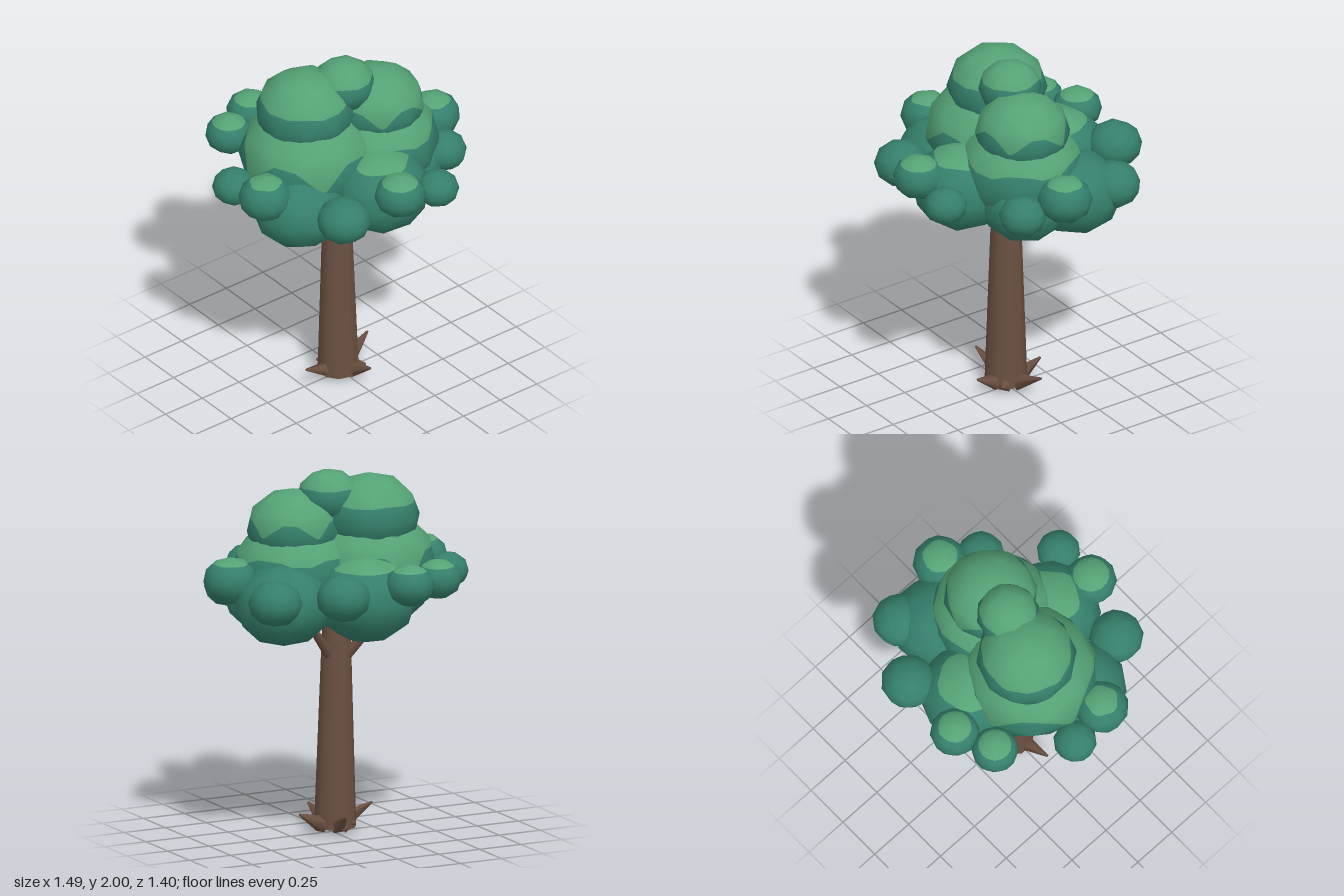
import * as THREE from 'three';

const bark = new THREE.MeshStandardMaterial({ color: 0x6b5142 });
const darkLeaf = new THREE.MeshStandardMaterial({ color: 0x35806c });
const lightLeaf = new THREE.MeshStandardMaterial({ color: 0x55a476 });
bark.name = 'bark';
darkLeaf.name = 'darkLeaf';
lightLeaf.name = 'lightLeaf';

const UP = new THREE.Vector3(0, 1, 0);
const SQUASH = 0.86;

// keep the part of a polygon on one side of the colour line
function clip(poly, side) {
  const out = [];
  poly.forEach((a, i) => {
    const b = poly[(i + 1) % poly.length];
    if (a.v * side >= 0) out.push(a);
    if (a.v * b.v < 0) out.push({ p: a.p.clone().lerp(b.p, a.v / (a.v - b.v)), v: 0 });
  });
  return out;
}

// squashed ball of leaves: light cap above a zigzag line, dark below
function leafBall(name, x, y, z, r, line, zigzag, turn) {
  const ico = new THREE.IcosahedronGeometry(1, 1);
  ico.rotateZ(Math.atan(2 / (1 + Math.sqrt(5))));
  const src = ico.attributes.position;
  const corner = i => {
    const p = new THREE.Vector3().fromBufferAttribute(src, i);
    const ring = Math.sqrt(Math.max(0, 1 - p.y * p.y));
    const wave = zigzag * ring * Math.sin(5 * Math.atan2(p.z, p.x));
    return { p, v: p.y + wave - line + 1e-5 };
  };
  const pos = [];
  const counts = [-1, 1].map(side => {
    const start = pos.length / 3;
    for (let i = 0; i < src.count; i += 3) {
      const poly = clip([corner(i), corner(i + 1), corner(i + 2)], side);
      for (let k = 1; k + 1 < poly.length; k++) {
        for (const c of [poly[0], poly[k], poly[k + 1]]) pos.push(c.p.x, c.p.y, c.p.z);
      }
    }
    return pos.length / 3 - start;
  });
  const geo = new THREE.BufferGeometry();
  geo.setAttribute('position', new THREE.Float32BufferAttribute(pos, 3));
  geo.setAttribute('normal', new THREE.Float32BufferAttribute(pos, 3));
  geo.normalizeNormals();
  geo.addGroup(0, counts[0], 0);
  if (counts[1]) geo.addGroup(counts[0], counts[1], 1);
  geo.rotateY(turn);
  geo.scale(r, r * SQUASH, r);
  const mesh = new THREE.Mesh(geo, [darkLeaf, lightLeaf]);
  mesh.name = name;
  mesh.position.set(x, y, z);
  return mesh;
}

// tapered limb between two points
function limb(name, from, to, r0, r1, sides) {
  const a = new THREE.Vector3(...from), b = new THREE.Vector3(...to);
  const d = b.clone().sub(a);
  const mesh = new THREE.Mesh(new THREE.CylinderGeometry(r1, r0, d.length(), sides), bark);
  mesh.name = name;
  mesh.position.copy(a).add(b).multiplyScalar(0.5);
  mesh.quaternion.setFromUnitVectors(UP, d.normalize());
  return mesh;
}

export function createModel() {
  const tree = new THREE.Group();
  tree.name = 'tree';

  // trunk
  tree.add(limb('trunk', [-0.018, 0.03, 0], [-0.024, 1.25, -0.005], 0.115, 0.074, 10));

  // branches
  [
    [[0.02, 0.97, -0.02], [0.2, 1.2, -0.1]],
    [[-0.03, 0.98, 0.04], [-0.07, 1.2, 0.24]],
    [[-0.05, 0.96, -0.04], [-0.21, 1.2, -0.16]],
  ].forEach(([a, b]) => tree.add(limb('branch', a, b, 0.03, 0.02, 6)));

  // pointed roots
  [
    [0.23, 0.13, -0.06], [-0.26, 0.13, 0.03], [0.03, 0.12, 0.22],
    [0.02, 0.12, -0.2], [0.09, 0.06, 0.1], [-0.09, 0.06, -0.1],
  ].forEach(tip => {
    const k = 0.07 / Math.hypot(tip[0], tip[2]);
    tree.add(limb('root', [tip[0] * k, 0.05, tip[2] * k], tip, 0.05, 0.006, 5));
  });

  // crown: x, y, z, radius, colour line, zigzag
  const crown = new THREE.Group();
  crown.name = 'crown';
  [
    [-0.195, 1.74, -0.065, 0.272, 0.36, 0.05],
    [0.21, 1.685, 0.05, 0.257, 0.17, 0.25],
    [0.02, 1.855, 0, 0.172, 0.36, 0.05],
    [-0.2, 1.47, -0.04, 0.37, 0.2, 0.28],
    [0.2, 1.45, 0.05, 0.345, 0.34, 0.12],
    [-0.395, 1.305, 0.14, 0.255, 2, 0],
    [0.02, 1.345, 0.31, 0.275, 0.76, 0.12],
    [0.385, 1.325, -0.17, 0.262, 2, 0],
    [-0.03, 1.345, -0.33, 0.275, 0.72, 0.12],
    [0.33, 1.32, 0.12, 0.24, 2, 0],
  ].forEach((b, i) => crown.add(leafBall('leafCluster', ...b, i * 0.7)));

  // small tufts round the rim: x, y, z, radius, colour line
  [
    [0.595, 1.44, 0.04, 0.15, 0.72],
    [0.5, 1.36, 0.25, 0.13, 2],
    [0.52, 1.38, -0.33, 0.148, 2],
    [0.22, 1.42, -0.545, 0.15, 2],
    [-0.17, 1.455, -0.57, 0.135, 0.68],
    [-0.39, 1.45, -0.48, 0.128, 0.65],
    [-0.635, 1.4, -0.12, 0.118, 2],
    [-0.6, 1.435, 0.11, 0.147, 0.75],
    [-0.34, 1.365, 0.46, 0.148, 2],
    [-0.035, 1.455, 0.56, 0.14, 0.65],
    [0.22, 1.395, 0.56, 0.118, 2],
  ].forEach((b, i) => crown.add(leafBall('leafTuft', ...b, 0.12, i * 1.1)));
  tree.add(crown);
  return tree;
}
